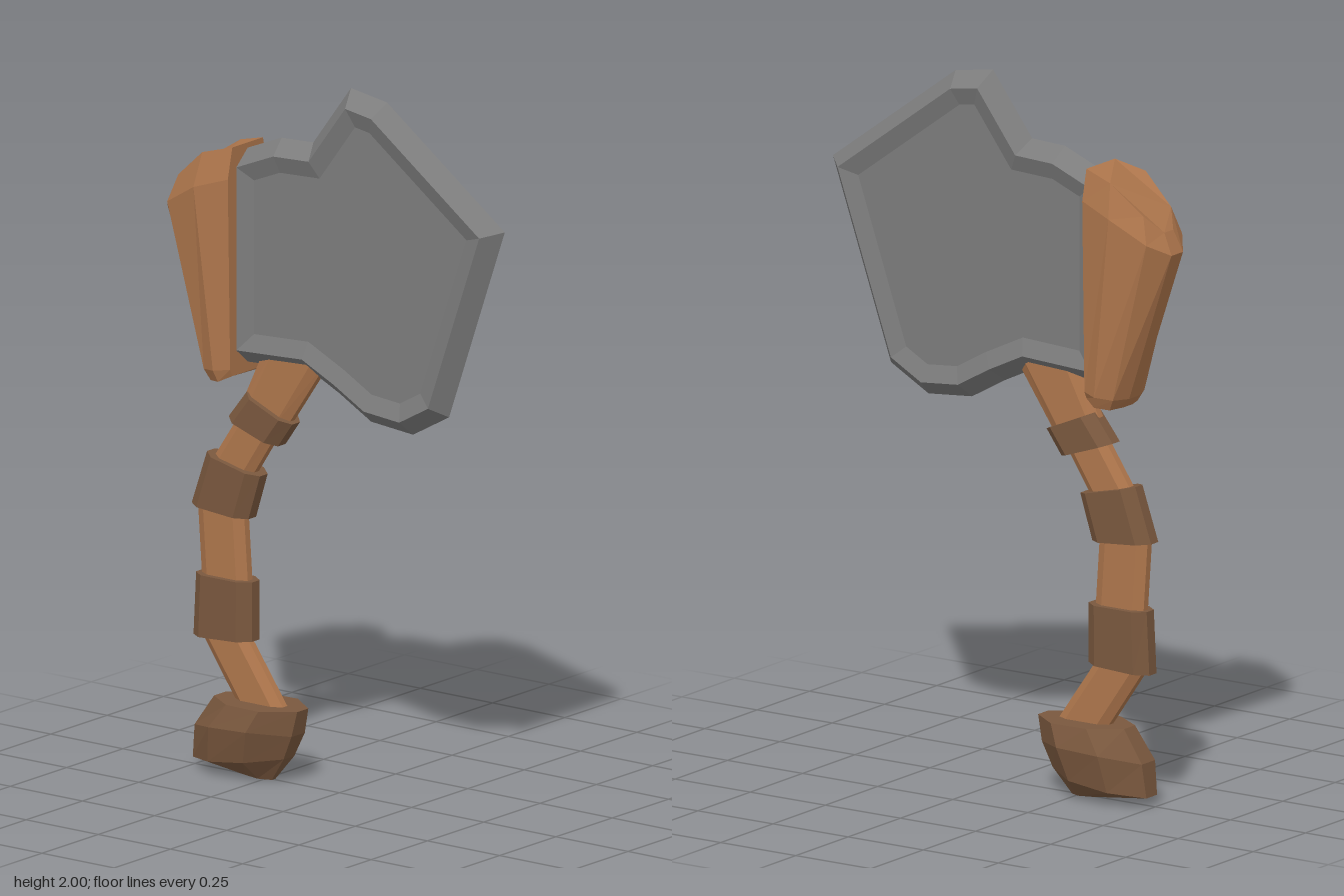
import * as THREE from 'three';

const material = (color) => new THREE.MeshStandardMaterial({ color, flatShading: true, roughness: 0.9 });
const steel = material(0x7c7c7c);
const wood = material(0xae764c);
const darkWood = material(0x7a583e);

// Skins a stack of closed rings (arrays of Vector3) and caps both ends; plane maps a point to 2D for the caps
function loft(rings, plane) {
  const n = rings[0].length;
  let tris = [];
  for (let r = 0; r < rings.length - 1; r++) {
    for (let i = 0; i < n; i++) {
      const j = (i + 1) % n, a = rings[r], b = rings[r + 1];
      tris.push([a[i], a[j], b[j]], [a[i], b[j], b[i]]);
    }
  }
  const area = (p) => THREE.ShapeUtils.area(p.map(plane));
  [rings[0], rings[rings.length - 1]].forEach((ring, end) => {
    const ccw = area(ring) > 0;
    const pts = ccw ? ring : [...ring].reverse();
    for (const [a, b, c] of THREE.ShapeUtils.triangulateShape(pts.map(plane), [])) {
      const t = [pts[a], pts[b], pts[c]];
      tris.push((end === 1) === ccw ? t : t.reverse());
    }
  });
  // Turn the skin outwards if it came out inside out
  const volume = tris.reduce((s, [a, b, c]) => s + a.dot(b.clone().cross(c)), 0);
  if (volume < 0) tris = tris.map(([a, b, c]) => [a, c, b]);
  const geometry = new THREE.BufferGeometry().setFromPoints(tris.flat());
  geometry.computeVertexNormals();
  return geometry;
}

// One ring across the handle axis: f and b are the front and back [z, y], w the half width,
// half lists [x share, front-to-back share], bulge lifts the middle
function ring(half, f, b, w, bulge = 0) {
  const point = (side) => ([x, t]) => new THREE.Vector3(
    side * x * w,
    THREE.MathUtils.lerp(f[1], b[1], t) + bulge * 4 * t * (1 - t),
    THREE.MathUtils.lerp(f[0], b[0], t));
  const mirrored = half.filter(([x]) => x > 0).reverse();
  return [...half.map(point(1)), ...mirrored.map(point(-1))];
}
const fromAbove = (p) => new THREE.Vector2(p.x, p.z);
const fromSide = (p) => new THREE.Vector2(p.z, p.y);

// Moves a closed [z, y] outline (clockwise order) inwards by d with mitred corners
function inset(outline, d) {
  const n = outline.length;
  const pts = outline.map(([z, y]) => new THREE.Vector2(z, y));
  const sign = Math.sign(THREE.ShapeUtils.area(pts));
  return pts.map((p, i) => {
    const normal = (a, b) => {
      const e = b.clone().sub(a).normalize();
      return new THREE.Vector2(-e.y, e.x).multiplyScalar(sign);
    };
    const n1 = normal(pts[(i + n - 1) % n], p);
    const n2 = normal(p, pts[(i + 1) % n]);
    const m = n1.clone().add(n2);
    return p.clone().addScaledVector(m, d / (1 + n1.dot(n2)));
  });
}

export function createModel() {
  const model = new THREE.Group();
  model.name = 'axe';
  const add = (name, geometry, mat) => {
    const mesh = new THREE.Mesh(geometry, mat);
    mesh.name = name;
    model.add(mesh);
  };

  // Blade: bevelled outer edge, raised rim and a sunken face on both sides
  const outline = [
    [0.573, 1.68], [0.165, 1.98], [0.04, 2.0], [-0.09, 1.825], [-0.2, 1.82], [-0.36, 1.755],
    [-0.36, 1.165], [-0.1, 1.178], [0.0, 1.13], [0.11, 1.068], [0.255, 1.055], [0.38, 1.125],
  ];
  const bladeRings = [[-0.033, 0.09], [-0.05, 0.042], [0, 0], [0.05, 0.042], [0.033, 0.09]]
    .map(([x, d]) => inset(outline, d).map((p) => new THREE.Vector3(x, p.y, p.x)));
  add('blade', loft(bladeRings, fromSide), steel);

  // Wooden block behind the blade
  const blockHalf = [[0.8, 0], [1, 0.4], [0.78, 0.83], [0.25, 1]];
  add('backBlock', loft([
    ring(blockHalf, [-0.318, 1.14], [-0.41, 1.118], 0.085, -0.01),
    ring(blockHalf, [-0.318, 1.16], [-0.43, 1.145], 0.097),
    ring(blockHalf, [-0.318, 1.7], [-0.573, 1.57], 0.11, 0.02),
    ring(blockHalf, [-0.318, 1.787], [-0.545, 1.63], 0.085, 0.04),
  ], fromAbove), wood);

  // Handle: each row is top front, top back, bottom front, bottom back as [z, y]
  const barHalf = [[0.4, 0], [1, 0.18], [1, 0.82], [0.4, 1]];
  const addBars = (name, rows, w, mat) => rows.forEach(([tf, tb, bf, bb], i) =>
    add(name + (i + 1), loft([ring(barHalf, bf, bb, w), ring(barHalf, tf, tb, w)], fromAbove), mat));
  addBars('shaft', [
    [[-0.03, 1.22], [-0.25, 1.22], [-0.18, 1.0], [-0.33, 1.05]],
    [[-0.21, 0.98], [-0.335, 1.02], [-0.3, 0.84], [-0.435, 0.87]],
    [[-0.323, 0.75], [-0.482, 0.75], [-0.308, 0.53], [-0.467, 0.53]],
    [[-0.313, 0.39], [-0.472, 0.385], [-0.18, 0.2], [-0.345, 0.2]],
  ], 0.026, wood);
  addBars('gripBand', [
    [[-0.15, 1.02], [-0.308, 1.087], [-0.2, 0.95], [-0.37, 1.008]],
    [[-0.262, 0.855], [-0.445, 0.897], [-0.498, 0.743], [-0.302, 0.727]],
    [[-0.29, 0.55], [-0.483, 0.55], [-0.29, 0.382], [-0.492, 0.372]],
  ].map((row, i) => (i === 1 ? [row[0], row[1], row[3], row[2]] : row)), 0.043, darkWood);

  // Pommel
  const pommelHalf = [[0.28, 0], [1, 0.3], [0.95, 0.7], [0.3, 1]];
  add('pommel', loft([
    ring(pommelHalf, [-0.228, 0], [-0.34, 0.008], 0.028),
    ring(pommelHalf, [-0.175, 0.07], [-0.488, 0.027], 0.085),
    ring(pommelHalf, [-0.143, 0.14], [-0.477, 0.122], 0.106, 0.02),
    ring(pommelHalf, [-0.127, 0.212], [-0.414, 0.212], 0.088),
  ], fromAbove), darkWood);

  return model;
}
